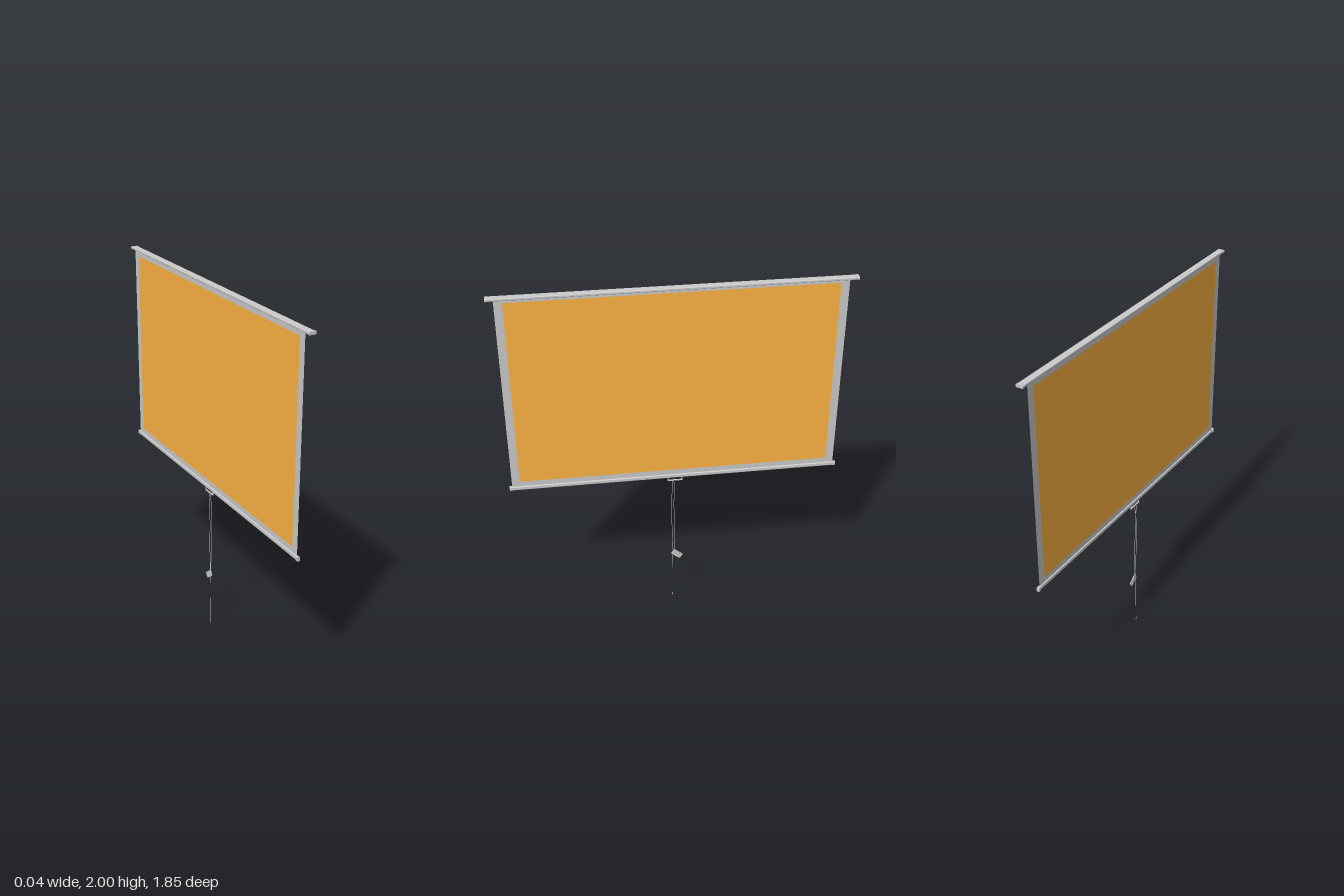
import * as THREE from 'three';

const mat = (color = 0xcccccc) => new THREE.MeshStandardMaterial({ color, side: THREE.DoubleSide });
const grey = mat();
const orange = mat(0xffb443);
const SCREEN_X = -0.012;

function rect(w, h, r = 0, cx = 0, cy = 0, Type = THREE.Shape) {
  const s = new Type(), a = w / 2, b = h / 2;
  if (!r) {
    s.moveTo(cx - a, cy - b).lineTo(cx + a, cy - b).lineTo(cx + a, cy + b).lineTo(cx - a, cy + b).closePath();
    return s;
  }
  s.moveTo(cx - a + r, cy - b).lineTo(cx + a - r, cy - b);
  s.absarc(cx + a - r, cy - b + r, r, -Math.PI / 2, 0).absarc(cx + a - r, cy + b - r, r, 0, Math.PI / 2);
  s.absarc(cx - a + r, cy + b - r, r, Math.PI / 2, Math.PI).absarc(cx - a + r, cy - b + r, r, Math.PI, Math.PI * 1.5);
  return s;
}

export function createModel() {
  const model = new THREE.Group();
  model.name = 'projectionScreen';
  const add = (name, geo, material = grey) => {
    const m = new THREE.Mesh(geo, material);
    m.name = name;
    model.add(m);
    return m;
  };
  // profile in x/y swept along z, centred on zc
  const bar = (name, shape, len, x, y, zc = 0) => {
    const geo = new THREE.ExtrudeGeometry(shape, { depth: len, bevelEnabled: false, curveSegments: 6 });
    return add(name, geo.translate(x, y, zc - len / 2));
  };
  const cord = (name, pts, r) => {
    const curve = new THREE.CatmullRomCurve3(pts.map(p => new THREE.Vector3(...p)));
    return add(name, new THREE.TubeGeometry(curve, 40, r, 6));
  };

  // roller case and its end caps
  bar('case', rect(0.038, 0.014, 0.004), 1.83, 0, 1.992);
  for (const s of [1, -1]) bar('caseEndCap', rect(0.041, 0.016, 0.005), 0.012, 0, 1.992, s * 0.921);

  // fabric: grey border around the coloured picture area
  const border = rect(1.776, 1.125, 0, 0, 1.425);
  border.holes.push(rect(1.69, 1.06, 0, 0, 1.43, THREE.Path));
  const fabric = (name, shape, m) =>
    add(name, new THREE.ShapeGeometry(shape).rotateY(Math.PI / 2).translate(SCREEN_X, 0, 0), m);
  fabric('fabricBorder', border, grey);
  fabric('pictureArea', rect(1.69, 1.06, 0, 0, 1.43), orange);

  // weighted bottom bar with end caps
  bar('bottomBar', rect(0.014, 0.022, 0.005), 1.78, SCREEN_X, 0.86);
  for (const s of [1, -1]) bar('bottomEndCap', rect(0.018, 0.027, 0.007), 0.014, SCREEN_X, 0.86, s * 0.895);

  // pull handle: two posts and a crossbar
  for (const s of [1, -1])
    add('handlePost', new THREE.BoxGeometry(0.005, 0.022, 0.004).translate(SCREEN_X, 0.841, s * 0.039));
  add('handleBar', new THREE.BoxGeometry(0.007, 0.005, 0.082).translate(SCREEN_X, 0.83, 0));

  // cord looped over the handle, both strands reaching the tag
  cord('cordLoop', [
    [-0.009, 0.34, 0.012], [-0.01, 0.5, 0.017], [-0.012, 0.65, 0.019], [-0.009, 0.78, 0.016],
    [-0.017, 0.81, 0.015], [-0.017, 0.832, 0.012], [-0.012, 0.838, 0.01], [-0.007, 0.832, 0.008],
    [-0.007, 0.81, 0.005], [-0.014, 0.78, 0.004], [-0.011, 0.65, 0.006], [-0.01, 0.5, 0.002], [-0.008, 0.34, 0.005],
  ], 0.0016);
  add('cordKnot', new THREE.SphereGeometry(0.004, 8, 6).translate(-0.009, 0.336, 0.009));

  // hanging tail with a small tip
  cord('cordTail', [[-0.009, 0.336, 0.012], [-0.01, 0.2, 0.015], [-0.012, 0.004, 0.015]], 0.0014);
  add('cordTip', new THREE.CylinderGeometry(0.0018, 0.0026, 0.007, 8).translate(-0.012, 0.0035, 0.015));

  // tilted tag with punched holes
  const tagShape = rect(0.062, 0.034, 0.005);
  for (const [u, v] of [[-0.02, 0], [-0.004, 0.007], [-0.004, -0.007], [0.014, 0.007], [0.014, -0.007]])
    tagShape.holes.push(new THREE.Path().absarc(u, v, 0.0035, 0, Math.PI * 2, true));
  const tag = add('tag', new THREE.ExtrudeGeometry(tagShape, { depth: 0.005, bevelEnabled: false, curveSegments: 6 })
    .translate(0, 0, -0.0025).rotateZ(-0.68).rotateY(Math.PI / 2));
  tag.position.set(-0.008, 0.308, -0.011);

  return model;
}
